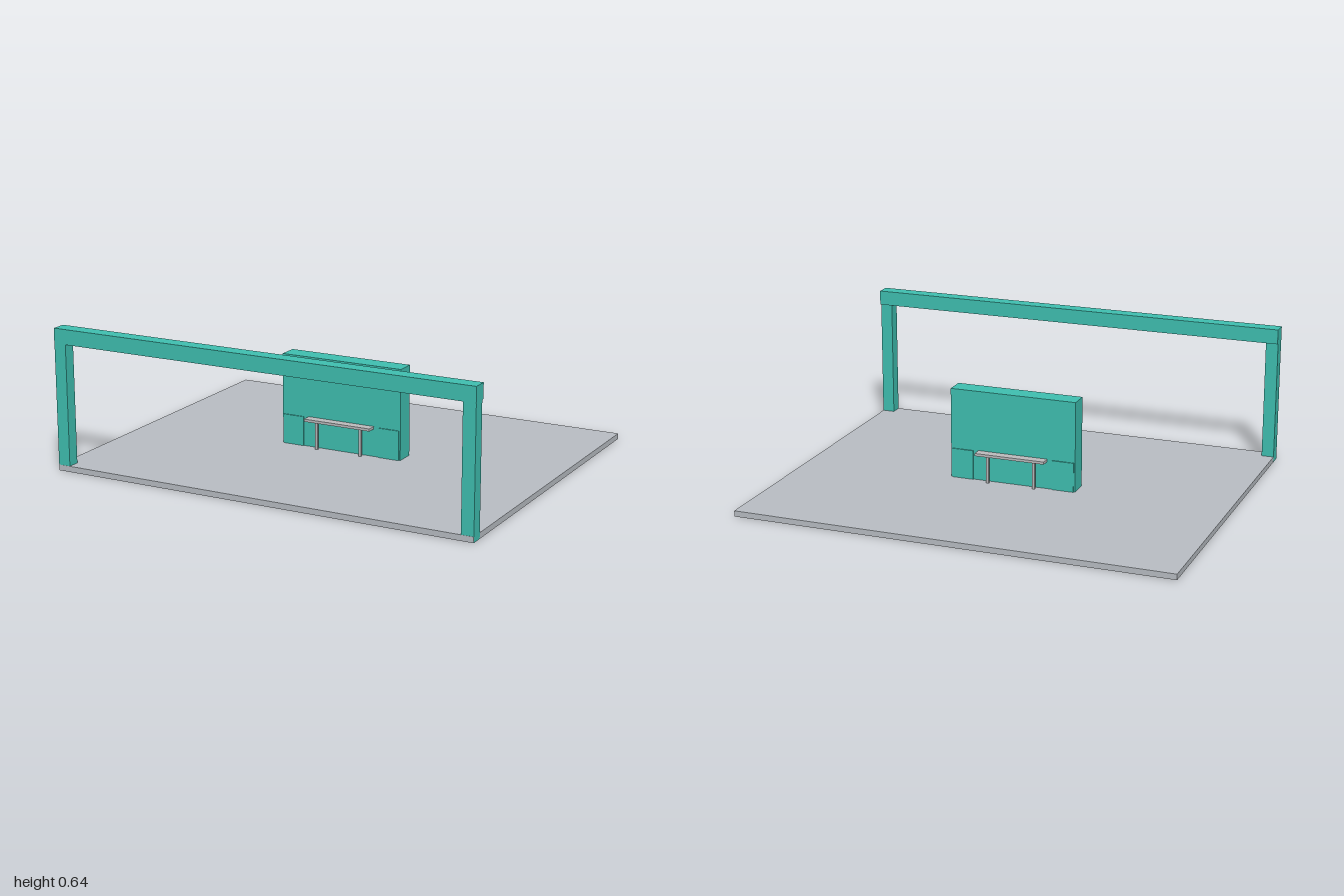
import * as THREE from 'three';

export function createModel() {
  const model = new THREE.Group();
  model.name = 'entranceCourt';

  const teal = new THREE.MeshStandardMaterial({ color: 0x40c1b2 });
  teal.name = 'teal paint';
  const paving = new THREE.MeshStandardMaterial({ color: 0xbabfc5 });
  paving.name = 'grey paving';
  const seatGrey = new THREE.MeshStandardMaterial({ color: 0xbdbdbf });
  seatGrey.name = 'bench grey';

  // Box given by its minimum and maximum corners
  function box(name, material, [x0, y0, z0], [x1, y1, z1], parent = model) {
    const geometry = new THREE.BoxGeometry(x1 - x0, y1 - y0, z1 - z0);
    const mesh = new THREE.Mesh(geometry, material);
    mesh.position.set((x0 + x1) / 2, (y0 + y1) / 2, (z0 + z1) / 2);
    mesh.name = name;
    parent.add(mesh);
    return mesh;
  }

  const floorTop = 0.026;
  box('floorSlab', paving, [-0.9995, 0, -0.8], [0.9995, floorTop, 0.8]);

  // Gateway along the front edge
  const gateway = new THREE.Group();
  gateway.name = 'gateway';
  model.add(gateway);
  box('gatewayBeam', teal, [-1, 0.575, 0.732], [1, 0.643, 0.8], gateway);
  box('rightPost', teal, [-1, 0.001, 0.743], [-0.943, 0.575, 0.799], gateway);
  box('leftPost', teal, [0.943, 0.001, 0.743], [1, 0.575, 0.799], gateway);

  // Central wall with thicker lower ends
  box('centralWall', teal, [-0.297, 0.001, -0.045], [0.297, 0.443, 0.045]);
  for (const side of [-1, 1]) {
    const x = 0.24 * side;
    box('wallBasePanel', teal, [x - 0.051, floorTop, -0.05], [x + 0.051, 0.162, 0.05]);
  }

  // One bench on each face of the wall
  for (const side of [1, -1]) {
    const bench = new THREE.Group();
    bench.name = side > 0 ? 'frontBench' : 'backBench';
    box('seat', seatGrey, [-0.165, 0.153, 0.045], [0.165, 0.165, 0.089], bench);
    for (const x of [-0.11, 0.11]) {
      box('benchLeg', seatGrey, [x - 0.006, floorTop, 0.063], [x + 0.006, 0.153, 0.075], bench);
    }
    if (side < 0) bench.rotation.y = Math.PI;
    model.add(bench);
  }

  return model;
}
